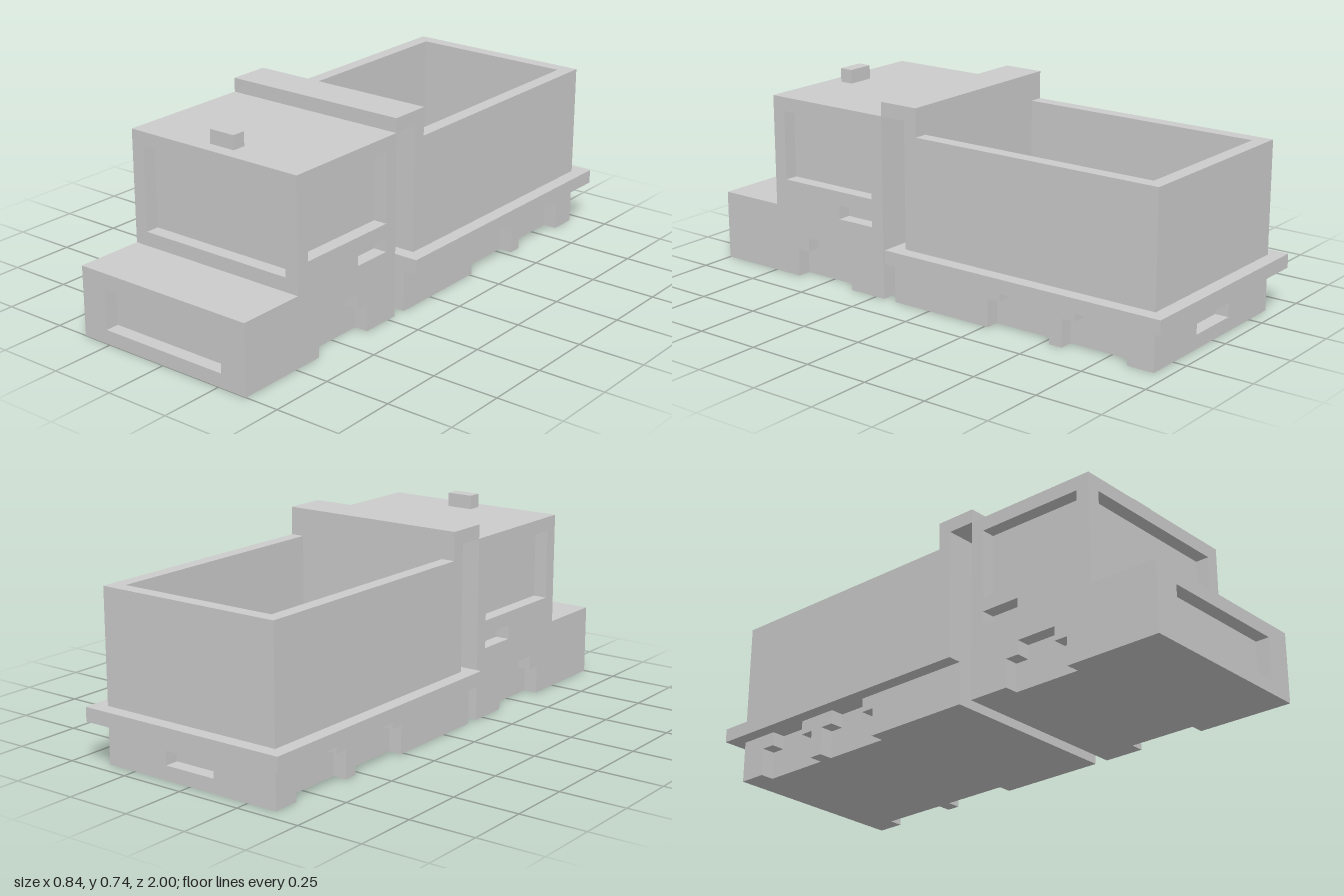
import * as THREE from 'three';

const U = 1 / 19; // one block; all numbers below are in blocks
const material = new THREE.MeshStandardMaterial({ color: 0xcccccc, flatShading: true });

function add(group, name, geometry) {
  const mesh = new THREE.Mesh(geometry, material);
  mesh.name = name;
  group.add(mesh);
}

// Block given by its min and max on each axis
function block(group, name, x0, x1, y0, y1, z0, z1) {
  const g = new THREE.BoxGeometry(x1 - x0, y1 - y0, z1 - z0);
  g.translate((x0 + x1) / 2, (y0 + y1) / 2, (z0 + z1) / 2);
  add(group, name, g);
}

const rect = (a0, a1, b0, b1) => [[a0, b0], [a1, b0], [a1, b1], [a0, b1]];
const points = (list) => list.map(([a, b]) => new THREE.Vector2(a, b));

// Plate one block thick (by default) with cut-outs
function plate(outline, holes, depth = 1) {
  const shape = new THREE.Shape(points(outline));
  for (const h of holes) shape.holes.push(new THREE.Path(points(h)));
  return new THREE.ExtrudeGeometry(shape, { depth, bevelEnabled: false });
}

// The same (z, y) plate on both flanks, filling |x| from 6 to 7
function flanks(group, name, outline, holes) {
  for (const [side, x] of [['left', 7], ['right', -6]]) {
    const g = plate(outline, holes);
    g.rotateY(-Math.PI / 2).translate(x, 0, 0);
    add(group, side + name, g);
  }
}

// Stepped wheel arch along the bottom edge, starting at z
const arch = (z) => [[z, 0], [z, 2], [z + 1, 2], [z + 1, 3], [z + 4, 3], [z + 4, 2], [z + 5, 2], [z + 5, 0]];

export function createModel() {
  const model = new THREE.Group();
  model.name = 'dumpTruck';

  // Cab and hood
  const cab = new THREE.Group();
  cab.name = 'cab';
  flanks(cab, 'CabSide',
    [[4, 0], ...arch(7), [19, 0], [19, 5], [14, 5], [14, 13], [4, 13]],
    [rect(5, 13, 7, 12), rect(5, 8, 5, 6)]); // side window, door handle
  block(cab, 'lowerBody', -6, 6, 0, 5, 4, 18);
  block(cab, 'upperBody', -6, 6, 5, 13, 4, 13);
  block(cab, 'windscreenSill', -6, 6, 5, 6, 13, 14);
  block(cab, 'windscreenHeader', -6, 6, 12, 13, 13, 14);
  add(cab, 'grilleFrame', plate(rect(-6, 6, 0, 5), [rect(-5, 5, 1, 4)]).translate(0, 0, 18));
  block(cab, 'beacon', -1, 1, 13, 14, 12, 13);

  // Rear chassis
  const chassis = new THREE.Group();
  chassis.name = 'chassis';
  flanks(chassis, 'ChassisSide',
    [[-18, 0], ...arch(-16), ...arch(-10), [3, 0], [3, 3.5], [-18, 3.5]], []);
  block(chassis, 'chassisCore', -6, 6, 0, 3, -17, 3);
  add(chassis, 'rearPanel', plate(rect(-6, 6, 0, 3), [rect(-2, 2, 1, 2)]).translate(0, 0, -18));
  block(chassis, 'hitch', -1, 1, 1, 3, 3, 4);
  block(chassis, 'deck', -8, 8, 3, 4, -19, 3);

  // Open dump box with a lip reaching over to the cab
  const dumpBox = new THREE.Group();
  dumpBox.name = 'dumpBox';
  add(dumpBox, 'boxWalls',
    plate(rect(-7, 7, -2, 18), [rect(-6, 6, -1, 17)], 8).rotateX(-Math.PI / 2).translate(0, 4, 0));
  block(dumpBox, 'boxFloor', -6, 6, 4, 5, -17, 1);
  block(dumpBox, 'frontWallTop', -7, 7, 12, 13, 1, 2);
  block(dumpBox, 'cabLip', -7, 7, 13, 14, 1, 4);

  model.add(cab, chassis, dumpBox);
  model.scale.setScalar(U);
  return model;
}
